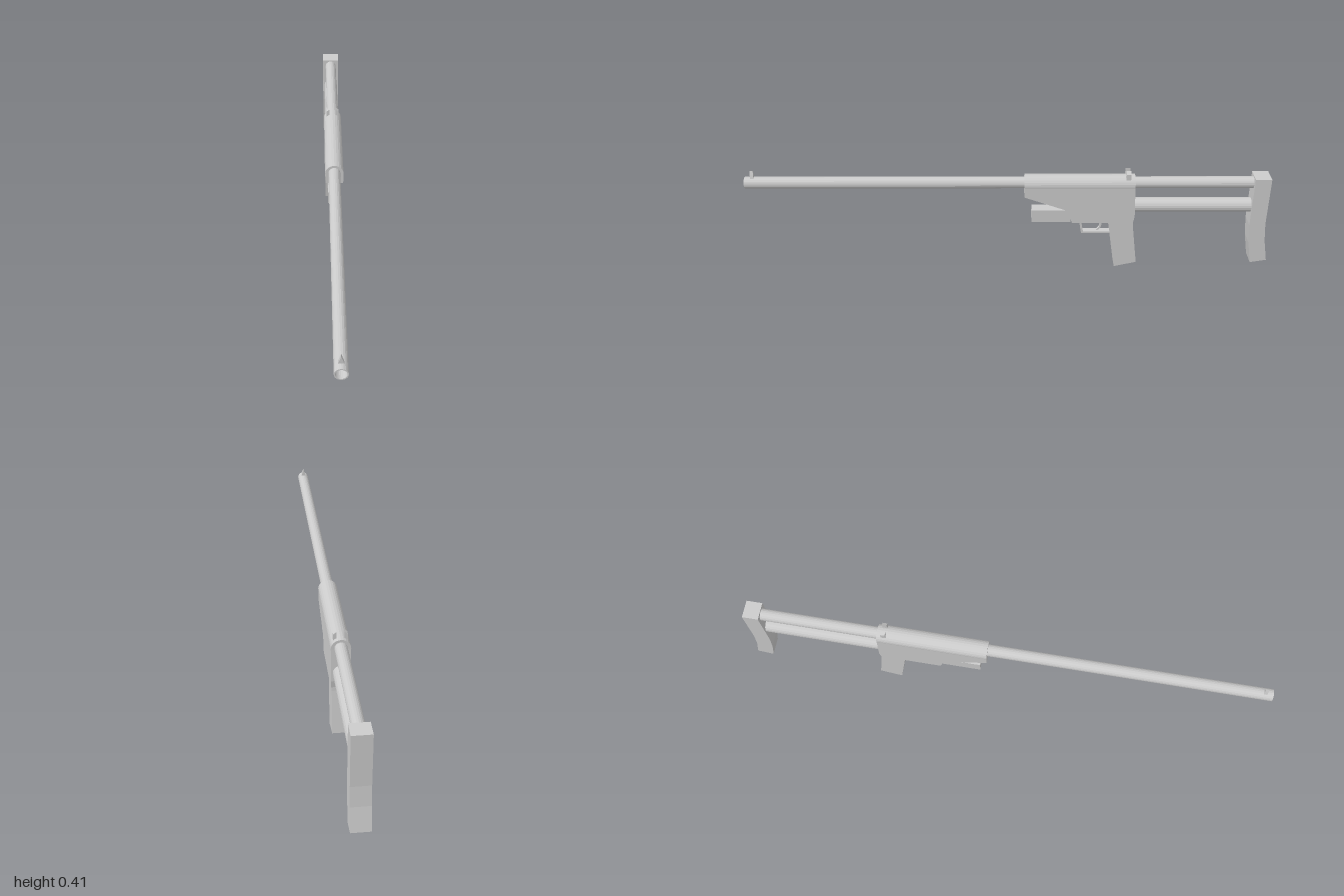
import * as THREE from 'three';

const material = new THREE.MeshStandardMaterial({ color: 0xcccccc, flatShading: true });

function add(group, name, geometry) {
  const mesh = new THREE.Mesh(geometry, material);
  mesh.name = name;
  group.add(mesh);
  return mesh;
}

// Side outline given as [z, y] points, extruded across x and centred
function sideProfile(points, width) {
  const shape = new THREE.Shape(points.map(([z, y]) => new THREE.Vector2(-z, y)));
  const geometry = new THREE.ExtrudeGeometry(shape, { depth: width, bevelEnabled: false });
  return geometry.translate(0, 0, -width / 2).rotateY(Math.PI / 2);
}

// Front outline given as [x, y] points, extruded along z
function frontProfile(points, z, depth) {
  const shape = new THREE.Shape(points.map(([x, y]) => new THREE.Vector2(x, y)));
  return new THREE.ExtrudeGeometry(shape, { depth, bevelEnabled: false }).translate(0, 0, z);
}

// Solid round bar running along z
function bar(radius, y, z0, z1, sides = 20) {
  return new THREE.CylinderGeometry(radius, radius, z1 - z0, sides)
    .rotateX(Math.PI / 2).translate(0, y, (z0 + z1) / 2);
}

export function createModel() {
  const group = new THREE.Group();

  // Barrel with a hollow muzzle
  const barrelOutline = [[0.0225, -0.06], [0.0225, 1], [0.0185, 1], [0.0185, 0.5], [0, 0.5]];
  add(group, 'barrel', new THREE.LatheGeometry(barrelOutline.map(([r, z]) => new THREE.Vector2(r, z)), 20)
    .rotateX(Math.PI / 2).translate(0, 0.36, 0));

  // Receiver: flat-sided body with a rounded top
  add(group, 'receiverBody', sideProfile([
    [-0.052, 0.357], [-0.052, 0.313], [-0.217, 0.254], [-0.235, 0.2],
    [-0.468, 0.2], [-0.473, 0.23], [-0.468, 0.357],
  ], 0.068));
  add(group, 'receiverTop', bar(0.035, 0.357, -0.468, -0.052, 24));

  // Grip, slightly narrower than the receiver
  const grip = add(group, 'grip', sideProfile([
    [-0.375, 0.21], [-0.377, 0.19], [-0.406, 0.003], [-0.491, 0.023], [-0.469, 0.19], [-0.468, 0.21],
  ], 0.062));
  grip.geometry.translate(0, -0.003, 0);

  // Block under the receiver
  add(group, 'foreBlock', new THREE.BoxGeometry(0.048, 0.05, 0.15).translate(0, 0.225, -0.155));

  // Trigger guard strap and trigger
  add(group, 'triggerGuard', sideProfile([
    [-0.265, 0.205], [-0.265, 0.19], [-0.273, 0.141], [-0.388, 0.141],
    [-0.388, 0.149], [-0.28, 0.149], [-0.273, 0.19], [-0.273, 0.205],
  ], 0.023));
  add(group, 'guardFlare', frontProfile([[-0.022, 0.2], [-0.0115, 0.191], [0.0115, 0.191], [0.022, 0.2]], -0.274, 0.01));
  add(group, 'trigger', sideProfile([
    [-0.338, 0.205], [-0.345, 0.18], [-0.342, 0.165], [-0.331, 0.152],
    [-0.336, 0.151], [-0.347, 0.162], [-0.352, 0.18], [-0.35, 0.205],
  ], 0.012));

  // Two rails joining the receiver to the butt
  add(group, 'upperRail', bar(0.0225, 0.36, -0.925, -0.46));
  add(group, 'lowerRail', bar(0.028, 0.263, -0.925, -0.46));

  // Curved butt
  add(group, 'butt', sideProfile([
    [-0.915, 0.388], [-0.915, 0.19], [-0.922, 0.11], [-0.938, 0.02],
    [-1, 0.031], [-0.983, 0.12], [-0.976, 0.195], [-0.976, 0.388],
  ], 0.068));

  // Front sight spike
  add(group, 'frontSight', frontProfile([
    [-0.01, 0.378], [0.01, 0.378], [0.005, 0.395], [0, 0.41], [-0.005, 0.395],
  ], 0.965, 0.012));

  // Pair of rear sight ears
  for (const s of [-1, 1]) {
    const points = [[0.013, 0.38], [0.025, 0.375], [0.025, 0.405], [0.013, 0.414]];
    add(group, s > 0 ? 'rearSightLeft' : 'rearSightRight',
      frontProfile(points.map(([x, y]) => [s * x, y]), -0.451, 0.018));
  }

  return group;
}
